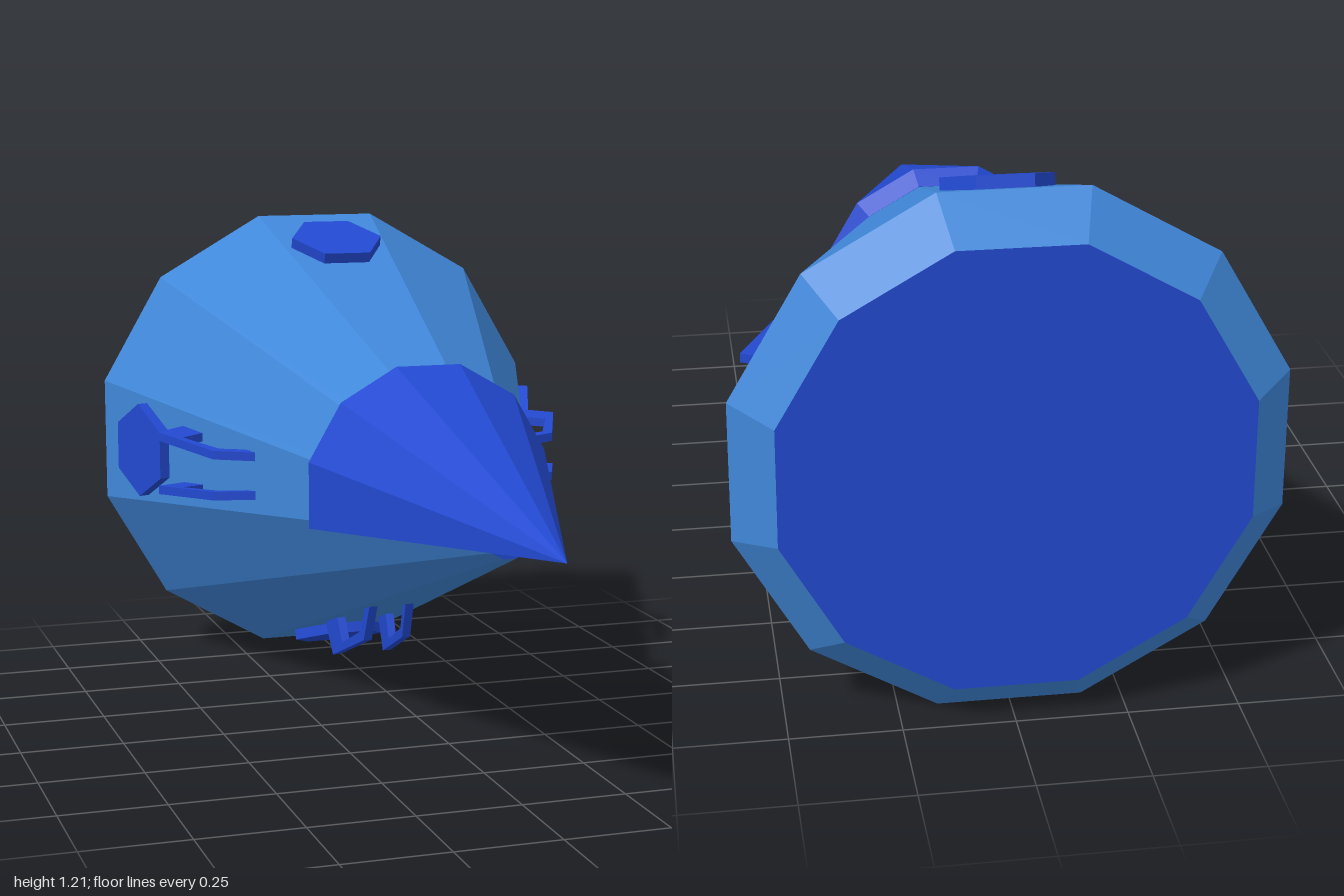
import * as THREE from 'three';

const AXIS_Y = 0.605;          // height of the long axis
const STEP = Math.PI / 12;     // half a facet of the 12-sided body

const paint = (color) => new THREE.MeshStandardMaterial({ color, flatShading: true, side: THREE.DoubleSide });
const hullBlue = paint(0x3f87d9);
const trimBlue = paint(0x2249d0);

function add(parent, name, geometry, material) {
  const mesh = new THREE.Mesh(geometry, material);
  mesh.name = name;
  parent.add(mesh);
  return mesh;
}

const points = (list) => list.map(([a, b]) => new THREE.Vector2(a, b));

// Faceted solid turned around the z axis from [radius, z] pairs
function turned(profile, segments, start, sweep) {
  return new THREE.LatheGeometry(points(profile), segments, start, sweep).rotateX(Math.PI / 2);
}

// Bent grip rail: side outline in (z, radius), splayed outwards towards the back
function railGeometry(side) {
  const outline = points([
    [-0.2, 0.35], [-0.245, 0.458], [-0.47, 0.55], [-0.53, 0.462],
    [-0.445, 0.425], [-0.4, 0.5], [-0.265, 0.438], [-0.235, 0.36],
  ]);
  const width = 0.022;
  const geometry = new THREE.ExtrudeGeometry(new THREE.Shape(outline), { depth: width, bevelEnabled: false });
  geometry.translate(0, 0, -width / 2).rotateY(-Math.PI / 2);
  const p = geometry.attributes.position;
  for (let i = 0; i < p.count; i++) {
    p.setX(i, p.getX(i) + side * (0.049 - 0.08 * (p.getZ(i) + 0.2)));
  }
  geometry.computeVertexNormals();
  return geometry;
}

export function createModel() {
  const model = new THREE.Group();
  model.name = 'capsule';
  const craft = new THREE.Group();
  craft.name = 'hull';
  craft.position.y = AXIS_Y;
  model.add(craft);

  // Tapered twelve-sided body with a chamfered rear edge
  add(craft, 'body', turned([[0.528, -1], [0.624, -0.905], [0.062, 0.66]], 12, STEP, Math.PI * 2), hullBlue);
  add(craft, 'rearCap', new THREE.CircleGeometry(0.528, 12, STEP).rotateY(Math.PI).translate(0, 0, -1), trimBlue);
  add(craft, 'frontCap', new THREE.CircleGeometry(0.062, 12, STEP).translate(0, 0, 0.66), trimBlue);

  // Nose hood covering the upper seven facets
  const hood = [[0.27, 0.063], [0.277, 0.063], [0.314, 0.092], [0, 1]];
  add(craft, 'noseHood', turned(hood, 7, 5 * STEP, 14 * STEP), trimBlue);
  const edge = new THREE.Shape(points([[0, 0.063], ...hood.slice(1)]));
  for (const angle of [-STEP, Math.PI + STEP]) {
    add(craft, 'noseHoodEdge', new THREE.ShapeGeometry(edge).rotateX(Math.PI / 2).rotateZ(angle), trimBlue);
  }

  // Hexagonal pads on four sides, grip rails on all but the top
  const sides = { top: 0, left: -Math.PI / 2, bottom: Math.PI, right: Math.PI / 2 };
  for (const [side, angle] of Object.entries(sides)) {
    const fittings = new THREE.Group();
    fittings.name = side + 'Fittings';
    fittings.rotation.z = angle;
    craft.add(fittings);

    const pad = new THREE.CylinderGeometry(0.125, 0.125, 0.054, 6).rotateY(Math.PI / 2).rotateX(0.333);
    add(fittings, side + 'Pad', pad.translate(0, 0.531, -0.695), trimBlue);
    if (side === 'top') continue;
    for (const s of [-1, 1]) add(fittings, side + 'GripRail', railGeometry(s), trimBlue);
  }
  return model;
}
